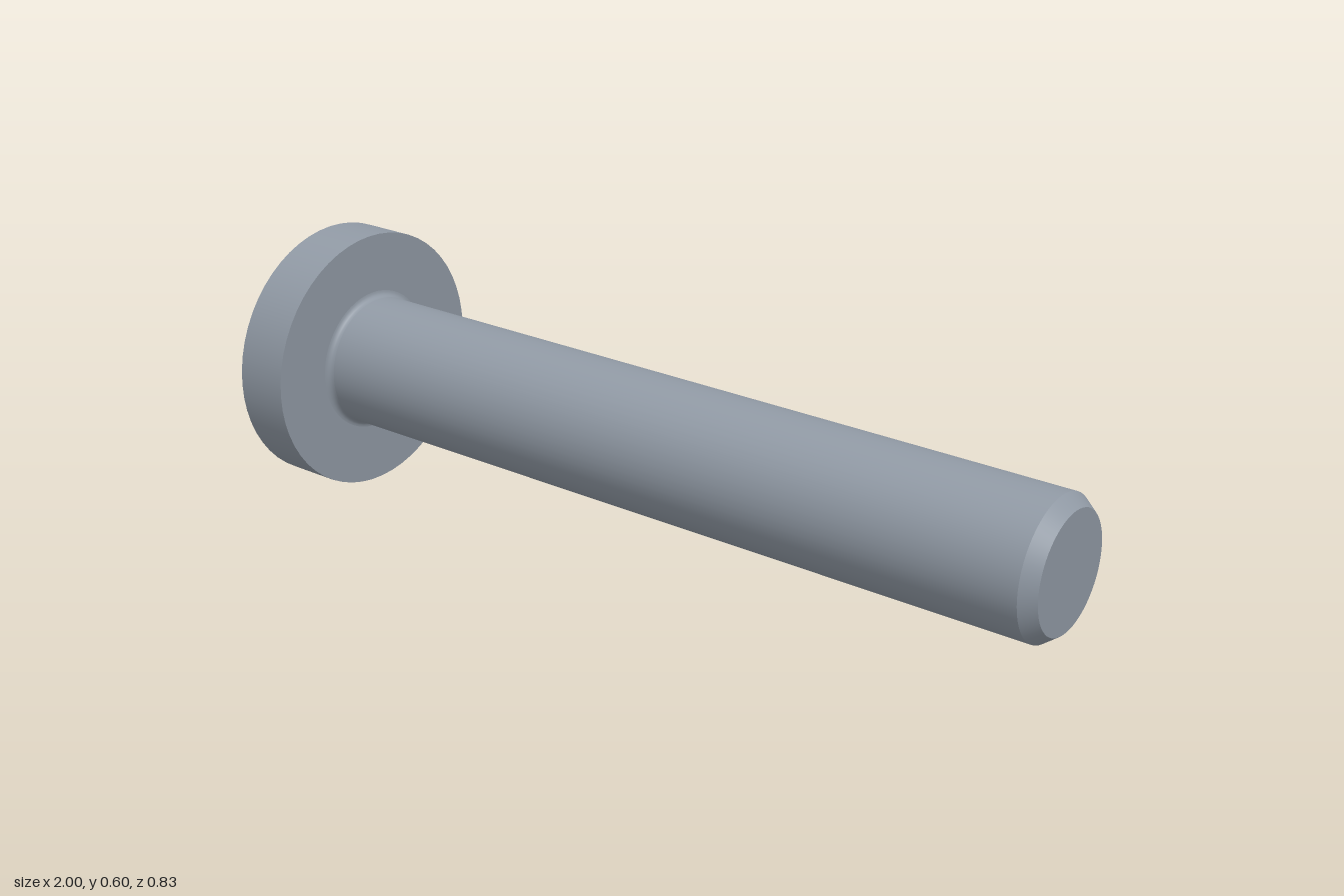
import * as THREE from 'three';

const SEG = 56;
const HEAD_R = 0.296, RIM_Y = -0.125, DOME_R = 0.456, DOME_C = 0.222;
const SHANK_R = 0.148, TIP_R = 0.125, LENGTH = 1.776;

// height of the domed head at radius r (local axis: +y runs from head to tip)
const domeY = r => DOME_C - Math.sqrt(DOME_R * DOME_R - r * r);

// surface through closed rings of points, each ring the same length
function loft(rings) {
  const n = rings[0].length, index = [];
  for (let i = 0; i < rings.length - 1; i++) {
    for (let j = 0; j < n; j++) {
      const k = (j + 1) % n;
      const a = i * n + j, b = i * n + k, c = b + n, d = a + n;
      index.push(a, b, d, c, d, b);
    }
  }
  const geo = new THREE.BufferGeometry().setFromPoints(rings.flat());
  geo.setIndex(index);
  return geo;
}

// cross-shaped recess outline with four thin ribs between the arms
function crossOutline(arm, w, valley, rib) {
  const quarter = [
    [arm, -w], [arm, w],
    [valley + 0.008, valley - 0.008],
    [rib + 0.004, rib - 0.004], [rib - 0.004, rib + 0.004],
    [valley - 0.008, valley + 0.008],
  ];
  const corners = [];
  for (let q = 0; q < 4; q++) {
    for (const [u, v] of quarter) {
      corners.push(new THREE.Vector2(u, v).rotateAround(new THREE.Vector2(), q * Math.PI / 2));
    }
  }
  const points = [];
  corners.forEach((p, i) => {
    const next = corners[(i + 1) % corners.length];
    for (let s = 0; s < 4; s++) points.push(p.clone().lerp(next, s / 4));
  });
  return points;
}

export function createModel() {
  const steel = new THREE.MeshStandardMaterial({ color: 0x8f98a3 });
  steel.name = 'steel';
  const screw = new THREE.Group();
  screw.name = 'screw';

  const add = (name, geo) => {
    const mesh = new THREE.Mesh(geo, steel);
    mesh.name = name;
    screw.add(mesh);
  };
  const turn = (name, points) =>
    add(name, new THREE.LatheGeometry(points.map(p => new THREE.Vector2(...p)), SEG));

  // domed head top, reaching from the recess edge out to the rim
  const edge = crossOutline(0.135, 0.04, 0.05, 0.068);
  const domeRings = [];
  for (let i = 0; i <= 8; i++) {
    domeRings.push(edge.map(p => {
      const r = THREE.MathUtils.lerp(p.length(), HEAD_R, i / 8);
      const a = p.angle();
      return new THREE.Vector3(r * Math.sin(a), domeY(r), r * Math.cos(a));
    }));
  }
  const dome = loft(domeRings);
  dome.computeVertexNormals();
  add('headDome', dome);

  // driver recess: sloped floor and tapered walls
  const floor = crossOutline(0.085, 0.034, 0.044, 0.05);
  const recess = loft([
    floor.map(() => new THREE.Vector3(0, -0.08, 0)),
    floor.map(p => new THREE.Vector3(p.y, -0.11, p.x)),
    domeRings[0].map(p => p.clone()),
  ]).toNonIndexed();
  recess.computeVertexNormals();
  add('driverRecess', recess);

  // head rim and underside
  turn('headRim', [[HEAD_R, RIM_Y], [HEAD_R, 0]]);
  turn('headUnderside', [[HEAD_R, 0], [SHANK_R + 0.014, 0]]);

  // fillet between head and shank
  const fillet = [];
  for (let i = 0; i <= 5; i++) {
    const a = i / 5 * Math.PI / 2;
    fillet.push([SHANK_R + 0.014 * (1 - Math.sin(a)), 0.014 * (1 - Math.cos(a))]);
  }
  turn('neckFillet', fillet);

  // shank with chamfered tip
  turn('shank', [[SHANK_R, 0.014], [SHANK_R, LENGTH - 0.03]]);
  turn('tipChamfer', [[SHANK_R, LENGTH - 0.03], [TIP_R, LENGTH]]);
  turn('tipFace', [[TIP_R, LENGTH], [0, LENGTH]]);

  // lay the screw along its slanted axis
  const axis = new THREE.Vector3(0.974, -0.084, 0.209).normalize();
  const side = new THREE.Vector3().crossVectors(axis, new THREE.Vector3(0, 1, 0)).normalize();
  const up = new THREE.Vector3().crossVectors(side, axis);
  screw.quaternion.setFromRotationMatrix(new THREE.Matrix4().makeBasis(up.negate(), axis, side.negate()));
  // keep the basis right-handed
  if (new THREE.Matrix4().makeBasis(up, axis, side).determinant() < 0) {
    screw.quaternion.setFromRotationMatrix(new THREE.Matrix4().makeBasis(up, axis, side.negate()));
  }
  screw.position.set(-0.76, 0.297, -0.098);

  const model = new THREE.Group();
  model.name = 'panHeadScrew';
  model.add(screw);
  return model;
}
